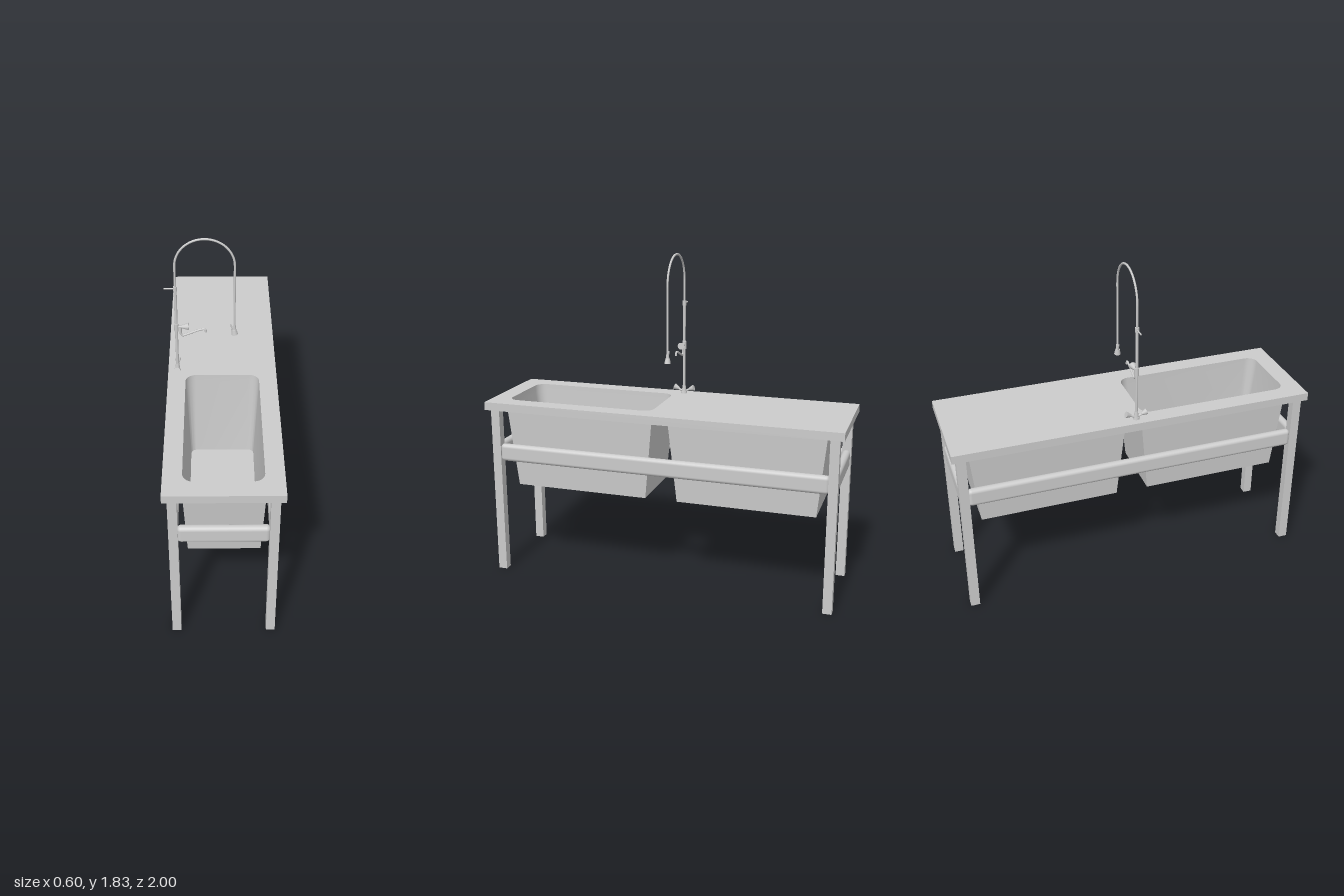
import * as THREE from 'three';
import { toCreasedNormals } from 'three/addons/utils/BufferGeometryUtils.js';
import { RoundedBoxGeometry } from 'three/addons/geometries/RoundedBoxGeometry.js';

const steel = new THREE.MeshStandardMaterial({ color: 0xcccccc });
const sheet = new THREE.MeshStandardMaterial({ color: 0xcccccc, side: THREE.DoubleSide });
const V = (x, y, z = 0) => new THREE.Vector3(x, y, z);

function add(parent, name, geometry, x = 0, y = 0, z = 0, material = steel) {
  const mesh = new THREE.Mesh(geometry, material);
  mesh.name = name;
  mesh.position.set(x, y, z);
  parent.add(mesh);
  return mesh;
}

// Corner points of a rounded rectangle, counter-clockwise
function roundedRect(w, d, r, segs) {
  const pts = [];
  [[1, 1], [-1, 1], [-1, -1], [1, -1]].forEach(([sx, sy], q) => {
    for (let i = 0; i <= segs; i++) {
      const a = (q + (segs ? i / segs : 0.5)) * Math.PI / 2;
      pts.push(new THREE.Vector2(
        sx * (w / 2 - r) + r * Math.cos(a), sy * (d / 2 - r) + r * Math.sin(a)));
    }
  });
  return pts;
}

// Open-topped basin: rings of [y, width, depth, radius] from rim to floor, closed by a flat floor
function basin(rings, segs) {
  const pos = [], index = [];
  const n = 4 * (segs + 1);
  for (const [y, w, d, r] of rings)
    for (const p of roundedRect(w, d, r, segs)) pos.push(p.x, y, p.y);
  for (let k = 0; k < rings.length - 1; k++)
    for (let i = 0; i < n; i++) {
      const a = k * n + i, b = k * n + (i + 1) % n;
      index.push(a, b, a + n, b, b + n, a + n);
    }
  const last = (rings.length - 1) * n;
  for (let i = 1; i < n - 1; i++) index.push(last, last + i, last + i + 1);
  const g = new THREE.BufferGeometry();
  g.setAttribute('position', new THREE.Float32BufferAttribute(pos, 3));
  g.setIndex(index);
  return toCreasedNormals(g, 0.6);
}

// Round bar between two points, optionally tapered
function bar(parent, name, a, b, r0, r1 = r0) {
  const dir = b.clone().sub(a);
  const mesh = add(parent, name, new THREE.CylinderGeometry(r1, r0, dir.length(), 12));
  mesh.position.copy(a).add(b).multiplyScalar(0.5);
  mesh.quaternion.setFromUnitVectors(V(0, 1, 0), dir.normalize());
  return mesh;
}

function createWorktop() {
  const shape = new THREE.Shape([[-0.297, -1], [0.297, -1], [0.297, 1], [-0.297, 1]]
    .map(([x, y]) => new THREE.Vector2(x, y)));
  // Shape y becomes -z, so the opening sits toward +z
  const hole = roundedRect(0.4, 0.85, 0.055, 8).map(p => new THREE.Vector2(p.x, p.y - 0.475));
  shape.holes.push(new THREE.Path(hole.reverse()));
  const g = new THREE.ExtrudeGeometry(shape, { depth: 0.045, bevelEnabled: false });
  g.rotateX(-Math.PI / 2);
  return toCreasedNormals(g, 0.6);
}

function createFaucet() {
  const f = new THREE.Group();
  f.name = 'faucet';
  const px = -0.245;

  // Base with its two angled valves
  add(f, 'baseFlange', new THREE.CylinderGeometry(0.016, 0.018, 0.012, 16), px, 1.016, 0);
  bar(f, 'baseBody', V(px, 1.02), V(px, 1.055), 0.014, 0.009);
  for (const s of [-1, 1]) {
    bar(f, 'valveStem', V(px, 1.02, 0), V(px, 1.035, s * 0.035), 0.006);
    bar(f, 'valveKnob', V(px, 1.034, s * 0.03), V(px, 1.045, s * 0.058), 0.008, 0.018);
  }

  // Riser and gooseneck hose
  bar(f, 'riser', V(px, 1.01), V(px, 1.54), 0.008);
  const path = new THREE.CurvePath();
  path.add(new THREE.LineCurve3(V(px, 1.5), V(px, 1.665)));
  const arc = [];
  for (let i = 0; i <= 16; i++) {
    const a = Math.PI * (1 - i / 16);
    arc.push(V(-0.09 + 0.155 * Math.cos(a), 1.665 + 0.155 * Math.sin(a)));
  }
  path.add(new THREE.CatmullRomCurve3(arc));
  path.add(new THREE.LineCurve3(V(0.065, 1.665), V(0.065, 1.29)));
  add(f, 'hose', new THREE.TubeGeometry(path, 90, 0.006, 8));

  // Wall stay
  bar(f, 'stayCollar', V(px, 1.52), V(px, 1.545), 0.011);
  bar(f, 'stay', V(px, 1.532), V(-0.305, 1.532), 0.004);

  // Mixer knob and swing spout
  bar(f, 'mixerBody', V(px, 1.27), V(px, 1.315), 0.012);
  bar(f, 'mixerStem', V(px, 1.295), V(-0.21, 1.295), 0.008);
  bar(f, 'mixerKnob', V(-0.217, 1.295), V(-0.18, 1.297), 0.008, 0.02);
  const spout = new THREE.CatmullRomCurve3(
    [V(-0.222, 1.293), V(-0.221, 1.25), V(-0.212, 1.24), V(-0.195, 1.245),
      V(-0.105, 1.279), V(-0.091, 1.277), V(-0.087, 1.26)]);
  add(f, 'spout', new THREE.TubeGeometry(spout, 40, 0.006, 8));

  // Spray head with trigger
  bar(f, 'sprayGrip', V(0.065, 1.305), V(0.065, 1.27), 0.007, 0.01);
  bar(f, 'sprayNozzle', V(0.063, 1.277), V(0.067, 1.247), 0.012, 0.018);
  bar(f, 'sprayTrigger', V(0.058, 1.27), V(0.043, 1.312), 0.004);
  return f;
}

export function createModel() {
  const model = new THREE.Group();
  model.name = 'sinkTable';

  add(model, 'worktop', createWorktop(), 0, 0.965, 0);

  // Tapered tubs under the worktop
  for (const s of [-1, 1])
    add(model, 'tubShell', basin([[0.97, 0.414, 0.862, 0], [0.505, 0.372, 0.768, 0]], 0),
      0.003, 0, s * 0.475, sheet);

  // Rounded bowl inside the open tub
  add(model, 'bowl', basin([[1.01, 0.4, 0.85, 0.055], [0.965, 0.398, 0.845, 0.055],
    [0.512, 0.355, 0.75, 0.035]], 8), 0, 0, 0.475, sheet);

  // Legs and rails
  const lx = 0.249, lz = 0.95;
  for (const s of [-1, 1]) {
    for (const t of [-1, 1])
      add(model, 'leg', new THREE.BoxGeometry(0.047, 0.97, 0.05), s * lx, 0.485, t * lz);
    add(model, 'sideRail', new RoundedBoxGeometry(0.044, 0.1, 1.86, 5, 0.021), s * lx, 0.713, 0);
    add(model, 'endRail', new RoundedBoxGeometry(0.46, 0.1, 0.044, 5, 0.021), 0, 0.713, s * lz);
  }

  model.add(createFaucet());
  return model;
}
